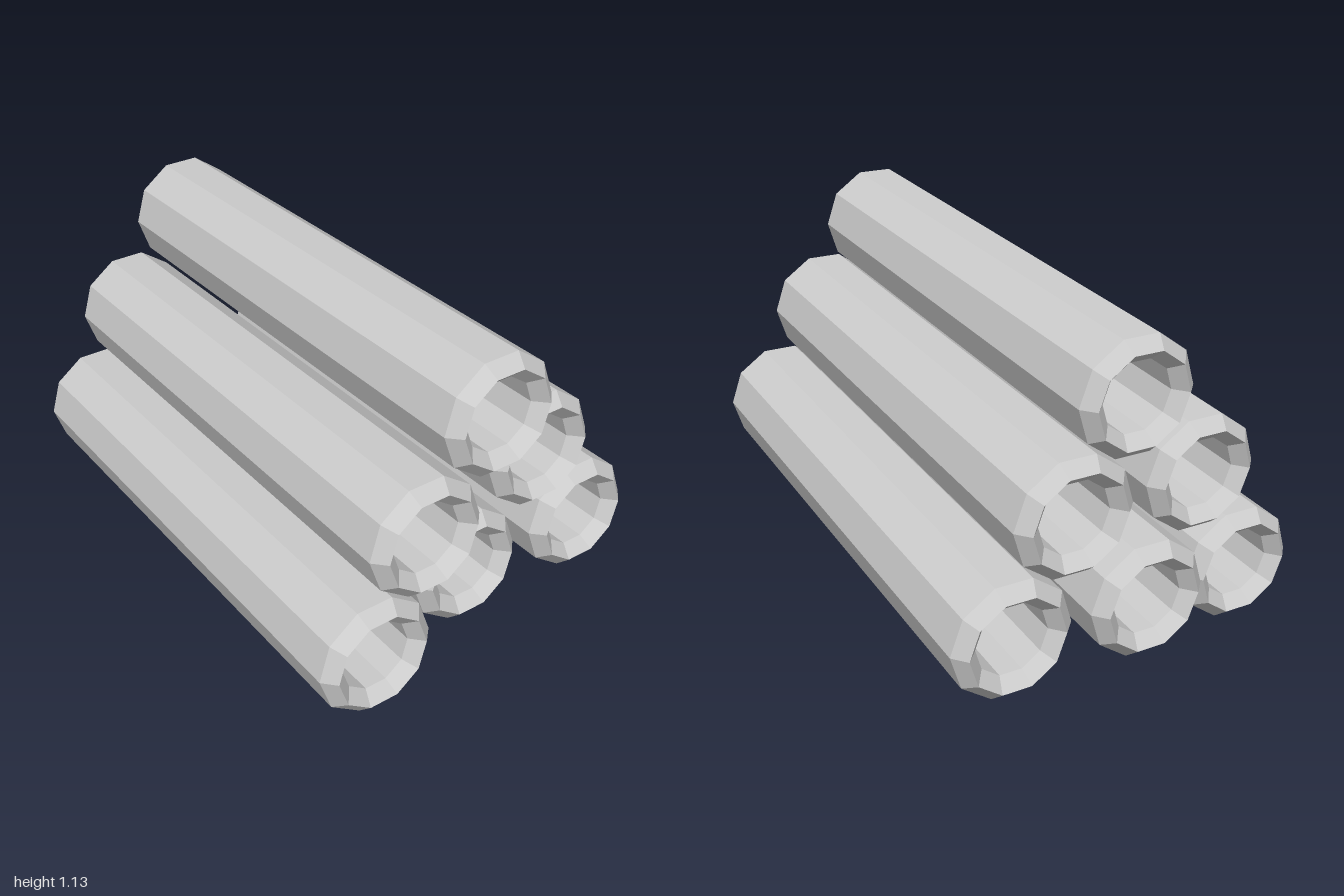
import * as THREE from 'three';

const SIDES = 10;
const HALF = 0.93;     // half length, ridge to ridge
const BEVEL = 0.042;   // axial depth of the end bevels
const OUTER = 0.195, RIDGE = 0.156, BORE = 0.117;
const TILT = -0.053;   // front ends sit slightly higher

// Hollow ten-sided pipe along z with bevelled rims at both ends
function pipeGeometry() {
  const profile = [
    [OUTER, -HALF + BEVEL], [OUTER, HALF - BEVEL], [RIDGE, HALF],
    [BORE, HALF - BEVEL], [BORE, -HALF + BEVEL], [RIDGE, -HALF],
    [OUTER, -HALF + BEVEL],
  ].map(([r, y]) => new THREE.Vector2(r, y));
  const geometry = new THREE.LatheGeometry(profile, SIDES, Math.PI / SIDES);
  return geometry.rotateX(Math.PI / 2); // flat side up
}

export function createModel() {
  const group = new THREE.Group();
  group.name = 'pipeStack';
  const material = new THREE.MeshStandardMaterial({ color: 0xcccccc, flatShading: true });
  const geometry = pipeGeometry();

  // Pyramid of six pipes, each shifted a little along its length
  const pipes = {
    topPipe: [-0.013, 0.897, 0.028],
    middleLeftPipe: [0.243, 0.62, -0.06],
    middleRightPipe: [-0.27, 0.59, 0.048],
    bottomLeftPipe: [0.437, 0.286, -0.057],
    bottomCentrePipe: [-0.018, 0.286, -0.06],
    bottomRightPipe: [-0.44, 0.234, 0.055],
  };
  for (const [name, position] of Object.entries(pipes)) {
    const pipe = new THREE.Mesh(geometry, material);
    pipe.name = name;
    pipe.position.set(...position);
    pipe.rotation.x = TILT;
    group.add(pipe);
  }
  return group;
}
